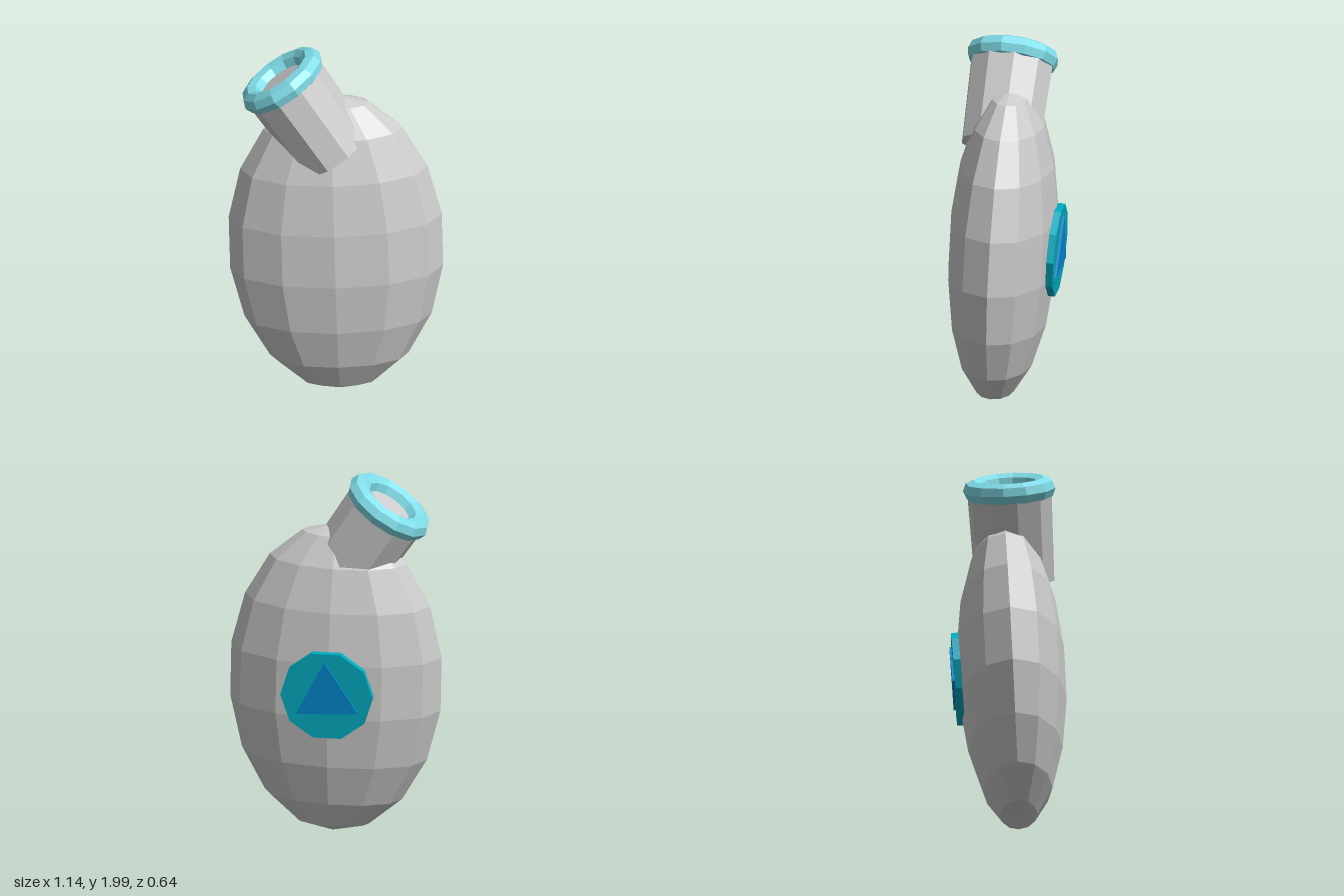
import * as THREE from 'three';

const GREY = 0xcccccc;

function part(name, geometry, color, parent) {
  const material = new THREE.MeshStandardMaterial({ color, flatShading: true });
  const mesh = new THREE.Mesh(geometry, material);
  mesh.name = name;
  parent.add(mesh);
  return mesh;
}

// Group whose local +y axis points along a direction
function alignedGroup(name, position, direction, parent) {
  const group = new THREE.Group();
  group.name = name;
  group.position.set(...position);
  group.quaternion.setFromUnitVectors(
    new THREE.Vector3(0, 1, 0), new THREE.Vector3(...direction).normalize());
  parent.add(group);
  return group;
}

export function createModel() {
  const model = new THREE.Group();
  model.name = 'flask';

  // Flattened egg-shaped body, slightly turned and tilted
  const bodyGeometry = new THREE.SphereGeometry(1, 12, 9);
  bodyGeometry.applyMatrix4(new THREE.Matrix4().makeBasis(
    new THREE.Vector3(0.571, 0.018, -0.088),
    new THREE.Vector3(-0.03, 0.866, -0.037),
    new THREE.Vector3(0.045, 0.014, 0.288)));
  part('body', bodyGeometry, GREY, model).position.set(0, 0.875, 0.018);

  // Leaning neck, closed at the mouth, with a thick ring around it
  const neckGroup = alignedGroup('neckAssembly', [-0.285, 1.832, 0.05], [-0.56, 0.828, 0.03], model);
  const neck = part('neck', new THREE.CylinderGeometry(0.228, 0.215, 0.5, 10), GREY, neckGroup);
  neck.position.y = -0.25;
  const rim = part('rim', new THREE.TorusGeometry(0.19, 0.06, 8, 12), 0x80deea, neckGroup);
  rim.rotation.x = Math.PI / 2;

  // Round badge on the back with a raised triangle
  const badge = new THREE.Group();
  badge.name = 'badge';
  badge.position.set(-0.042, 0.85, -0.267);
  const normal = new THREE.Vector3(-0.14, -0.07, -0.99).normalize();
  const side = new THREE.Vector3(0, 1, 0).cross(normal).normalize();
  const up = normal.clone().cross(side);
  badge.quaternion.setFromRotationMatrix(new THREE.Matrix4().makeBasis(side, up, normal));
  model.add(badge);

  const disc = new THREE.CylinderGeometry(0.25, 0.25, 0.038, 10);
  disc.rotateY(Math.PI / 2).rotateX(Math.PI / 2);
  part('badgeDisc', disc, 0x00acc1, badge);

  const triangle = new THREE.CylinderGeometry(0.195, 0.195, 0.03, 3);
  triangle.rotateX(Math.PI / 2).rotateZ(Math.PI + 0.04);
  part('badgeTriangle', triangle, 0x0288d1, badge).position.z = 0.016;

  return model;
}
